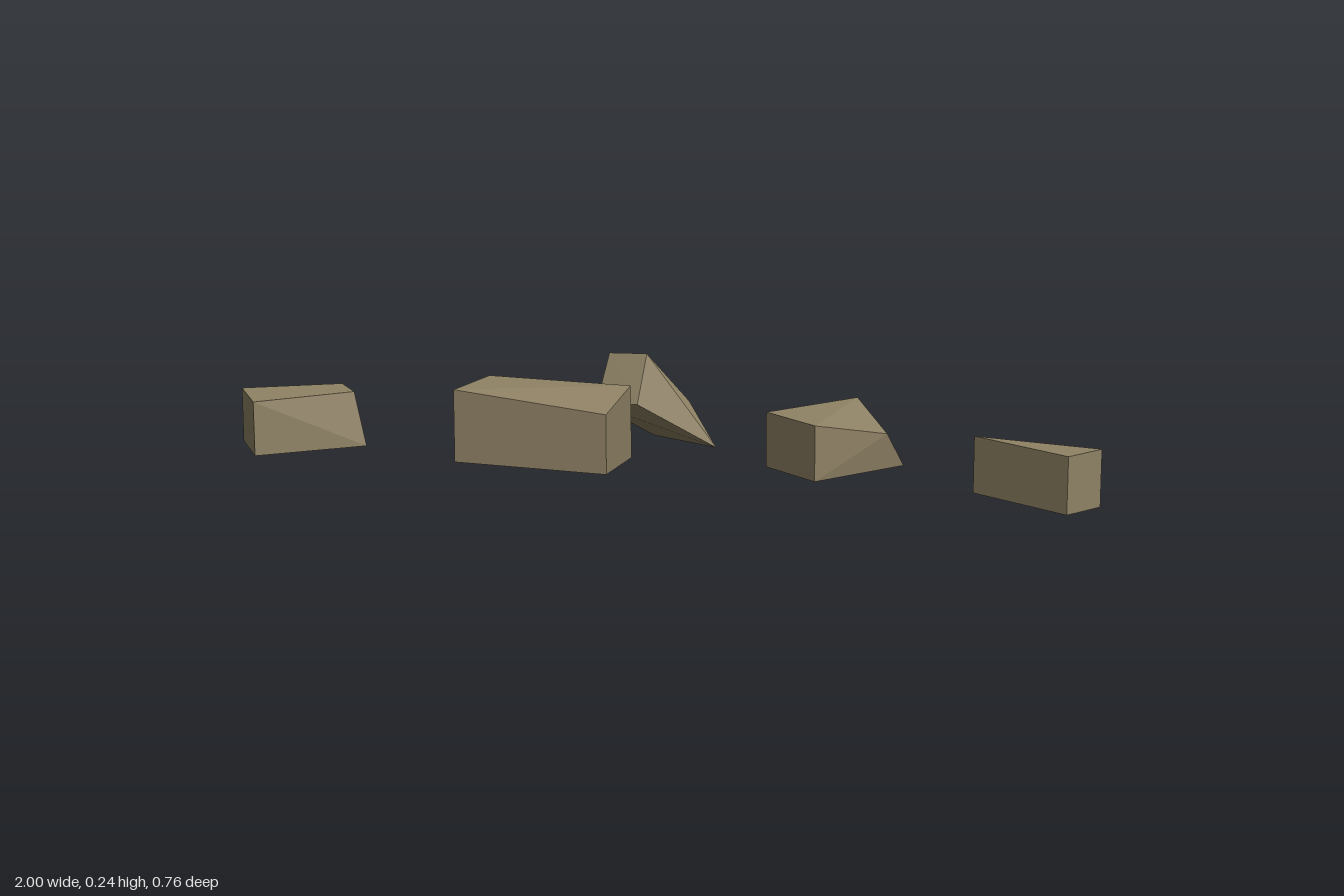
import * as THREE from 'three';
import { ConvexGeometry } from 'three/addons/geometries/ConvexGeometry.js';

const stone = new THREE.MeshStandardMaterial({ color: 0x8f8265 });
stone.name = 'stone';

// A rough-hewn block: four bottom corners, then four top corners
function block(name, bottom, top) {
  const points = [...bottom, ...top].map((p) => new THREE.Vector3(...p));
  const mesh = new THREE.Mesh(new ConvexGeometry(points), stone);
  mesh.name = name;
  return mesh;
}

// Corners at one height, given as [x, z]
const level = (y, ...corners) => corners.map(([x, z]) => [x, y, z]);
const BASE = 0.067;
const TOP = 0.192;

export function createModel() {
  const group = new THREE.Group();
  group.name = 'scatteredBlocks';

  // Block with a slanted end
  group.add(block('farRightBlock',
    level(BASE, [-1, 0.245], [-0.905, 0.38], [-0.705, 0.21], [-0.77, 0.125]),
    level(TOP, [-1, 0.245], [-0.905, 0.38], [-0.735, 0.205], [-0.8, 0.128])));

  // Long block with one chipped front corner
  group.add(block('longBlock',
    level(BASE, [-0.45, 0.3], [-0.085, 0.313], [-0.085, 0.138], [-0.445, 0.126]),
    [[-0.45, 0.233, 0.3], [-0.085, 0.202, 0.313], [-0.085, 0.234, 0.143], [-0.43, 0.234, 0.13]]));

  // Block with a chipped outer corner
  group.add(block('leftBlock',
    level(BASE, [0.23, 0.135], [0.37, 0.24], [0.52, 0.03], [0.385, -0.08]),
    [[0.23, TOP, 0.135], [0.37, TOP, 0.24], [0.495, 0.15, 0.087], [0.385, TOP, -0.08]]));

  // Small block with a chipped back corner
  group.add(block('farLeftBlock',
    level(BASE, [0.72, 0.235], [0.945, 0.367], [1, 0.277], [0.77, 0.102]),
    [[0.72, TOP, 0.235], [0.945, TOP, 0.367], [1, TOP, 0.277], [0.765, 0.16, 0.138]]));

  // Toppled block at the back
  group.add(block('toppledBlock',
    [[0, 0.012, -0.243], [-0.2, 0, -0.377], [-0.27, 0.12, -0.15], [-0.16, 0.13, -0.128]],
    [[-0.07, 0.12, -0.25], [-0.2, 0.112, -0.382], [-0.255, 0.235, -0.205], [-0.155, 0.242, -0.186]]));

  return group;
}
